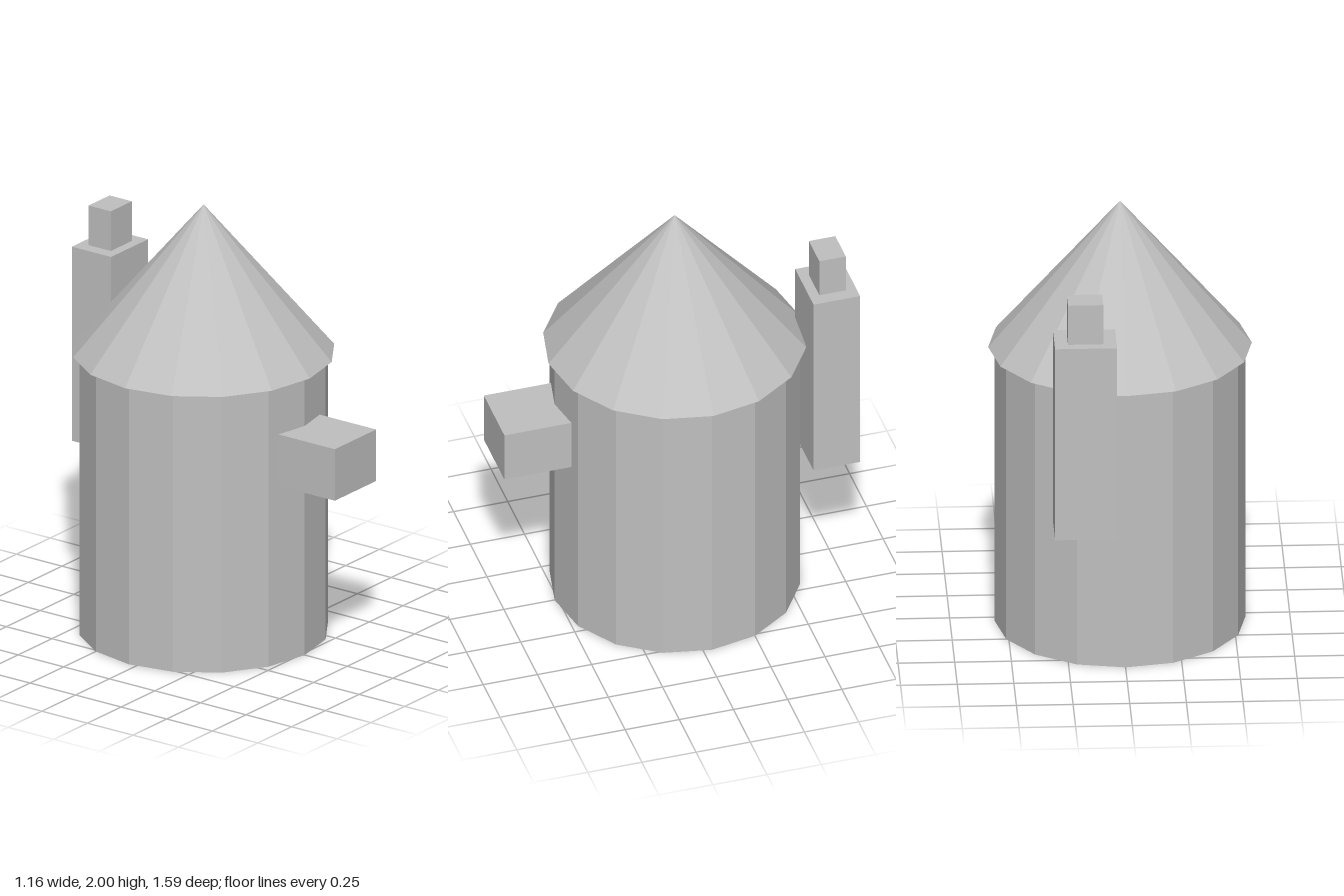
import * as THREE from 'three';

export function createModel() {
  const model = new THREE.Group();
  const grey = new THREE.MeshStandardMaterial({ color: 0xc0c0c0 });
  grey.name = 'plain grey';
  grey.flatShading = true;

  const SIDES = 16;
  const TOWER_Z = -0.038;
  const WALL_TOP = 1.31;

  function add(name, geometry, x, y, z) {
    const mesh = new THREE.Mesh(geometry, grey);
    mesh.name = name;
    mesh.position.set(x, y, z);
    model.add(mesh);
  }

  // Box given by its lowest and highest corners
  function addBox(name, [x0, y0, z0], [x1, y1, z1]) {
    add(name, new THREE.BoxGeometry(x1 - x0, y1 - y0, z1 - z0),
      (x0 + x1) / 2, (y0 + y1) / 2, (z0 + z1) / 2);
  }

  // Round tower wall and overhanging conical roof
  add('towerWall', new THREE.CylinderGeometry(0.554, 0.554, WALL_TOP, SIDES), 0, WALL_TOP / 2, TOWER_Z);
  add('roof', new THREE.ConeGeometry(0.582, 2 - WALL_TOP, SIDES), 0, (2 + WALL_TOP) / 2, TOWER_Z);

  // Block projecting from the front wall
  addBox('frontBlock', [-0.153, 0.837, 0.4], [0.153, 1.08, 0.795]);

  // Chimney on the back wall with a narrower flue
  addBox('chimney', [0.046, 0.7, -0.795], [0.32, 1.615, -0.58]);
  addBox('flue', [0.105, 1.6, -0.747], [0.261, 1.802, -0.625]);

  return model;
}
